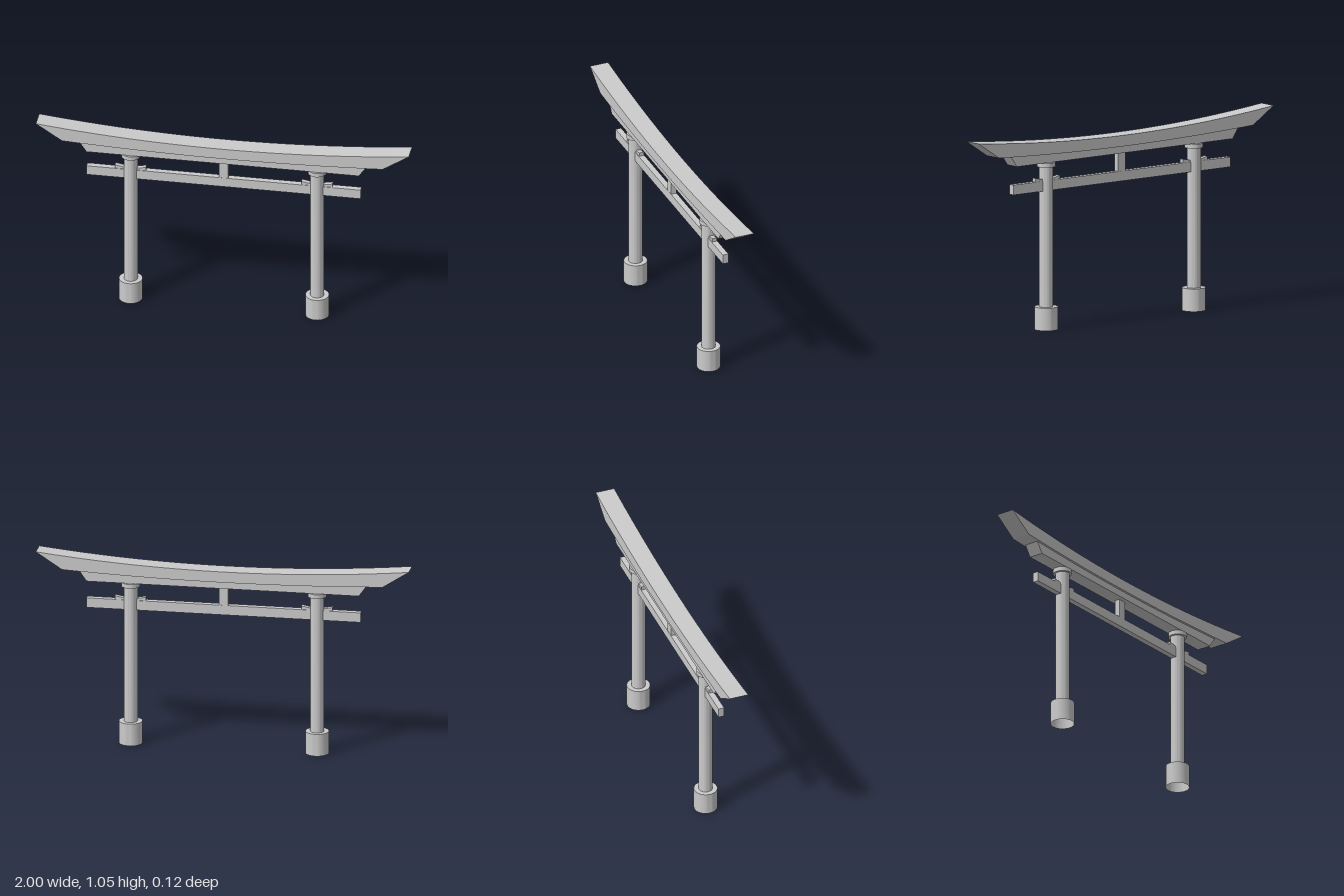
import * as THREE from 'three';
import { toCreasedNormals } from 'three/addons/utils/BufferGeometryUtils.js';

const solid = new THREE.MeshStandardMaterial({ color: 0xcccccc });
const open = new THREE.MeshStandardMaterial({ color: 0xcccccc, side: THREE.DoubleSide });

function add(parent, name, geometry, material = solid) {
  const mesh = new THREE.Mesh(geometry, material);
  mesh.name = name;
  parent.add(mesh);
  return mesh;
}

// Round part turned from [radius, height] pairs, with sharp rims
function turned(points) {
  const profile = points.map(([r, y]) => new THREE.Vector2(r, y));
  return toCreasedNormals(new THREE.LatheGeometry(profile, 40), Math.PI / 5);
}

// Front outline given depth about z = 0
function slab(points, halfDepth) {
  const shape = new THREE.Shape(points.map(([x, y]) => new THREE.Vector2(x, y)));
  const geometry = new THREE.ExtrudeGeometry(shape, { depth: 2 * halfDepth, bevelEnabled: false });
  geometry.translate(0, 0, -halfDepth);
  return toCreasedNormals(geometry, Math.PI / 6);
}

// Points along an upswept parabola from x = from to x = to
function sweep(from, to, height, n = 24) {
  return Array.from({ length: n + 1 }, (_, i) => {
    const x = from + ((to - from) * i) / n;
    return [x, height(x)];
  });
}

const topCurve = (x) => 0.995 + 0.055 * x * x;
const seamCurve = (x) => 0.936 + 0.031 * x * x;

export function createModel() {
  const gate = new THREE.Group();
  gate.name = 'gate';

  // Curved top lintel with raked ends
  add(gate, 'topLintel', slab([...sweep(-0.86, 0.86, seamCurve), ...sweep(1, -1, topCurve)], 0.052));

  // Second lintel: flat below, following the curve above
  add(gate, 'lowerLintel', slab([[-0.73, 0.898], [0.73, 0.898], ...sweep(0.77, -0.77, seamCurve)], 0.04));

  // Tie beam and the short strut at its middle
  add(gate, 'tieBeam', new THREE.BoxGeometry(1.47, 0.053, 0.032)).position.y = 0.7705;
  add(gate, 'centreStrut', new THREE.BoxGeometry(0.05, 0.103, 0.03)).position.y = 0.848;

  for (const side of [-1, 1]) {
    const post = new THREE.Group();
    post.name = side > 0 ? 'leftPost' : 'rightPost';
    post.position.x = side * 0.5;
    gate.add(post);

    add(post, 'column', turned([[0.037, 0.12], [0.037, 0.9]]), open);
    // Sleeve around the foot, open underneath
    add(post, 'foot', turned([[0.0625, 0], [0.0625, 0.122], [0.037, 0.122]]), open);
    add(post, 'collar', turned([[0.037, 0.872], [0.049, 0.872], [0.049, 0.895], [0.037, 0.895]]), open);

    // Wedges on the tie beam, higher at their outer ends
    for (const dir of [-1, 1]) {
      const outline = [[0.02, 0.797], [0.083, 0.797], [0.083, 0.817], [0.02, 0.805]];
      const points = outline.map(([x, y]) => [dir * x, y]);
      add(post, 'wedge', slab(points, 0.013));
    }
  }
  return gate;
}
